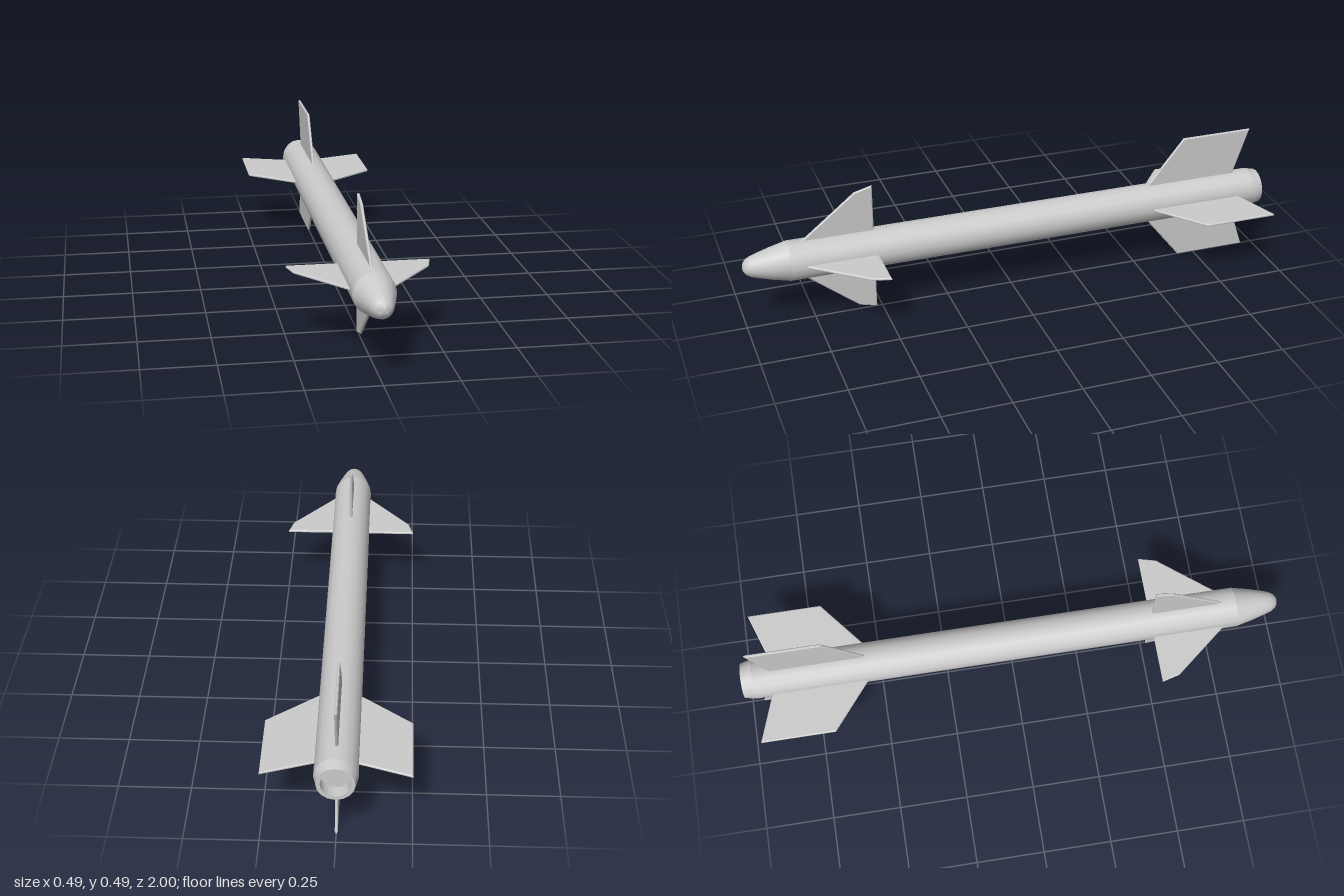
import * as THREE from 'three';
import { toCreasedNormals } from 'three/addons/utils/BufferGeometryUtils.js';

const AXIS_Y = 0.247; // height of the body axis
const R = 0.073; // body radius
const material = new THREE.MeshStandardMaterial({ color: 0xcccccc });

// Sixteen-sided turned part; profile is [radius, z], running from tail to nose.
function turned(name, profile) {
  const points = profile.map(([r, z]) => new THREE.Vector2(r, z));
  const geometry = new THREE.LatheGeometry(points, 16).rotateX(Math.PI / 2);
  const mesh = new THREE.Mesh(toCreasedNormals(geometry, 0.65), material);
  mesh.name = name;
  mesh.position.y = AXIS_Y;
  return mesh;
}

// Four bevelled fins around the axis; outline is [z, distance from axis].
function finSet(name, outline) {
  const set = new THREE.Group();
  set.name = name;
  set.position.y = AXIS_Y;
  const shape = new THREE.Shape(outline.map(([z, r]) => new THREE.Vector2(z, r)));
  const geometry = new THREE.ExtrudeGeometry(shape, {
    depth: 0.004, bevelThickness: 0.003, bevelSize: 0.004, bevelOffset: -0.004, bevelSegments: 1,
  });
  geometry.translate(0, 0, -0.002).rotateY(-Math.PI / 2);
  ['Top', 'Left', 'Bottom', 'Right'].forEach((side, i) => {
    const fin = new THREE.Mesh(geometry, material);
    fin.name = name.replace('Fins', 'Fin') + side;
    fin.rotation.z = -i * Math.PI / 2;
    set.add(fin);
  });
  return set;
}

export function createModel() {
  const model = new THREE.Group();
  model.name = 'missile';

  // Tail ring with recessed nozzle, straight body, tapered round nose
  model.add(turned('tailNozzle', [[0, -0.955], [0.05, -0.955], [0.05, -1], [0.064, -1], [R, -0.96]]));
  model.add(turned('body', [[R, -0.96], [R, 0.835]]));
  model.add(turned('nose', [
    [R, 0.835], [0.058, 0.9], [0.044, 0.95], [0.037, 0.972], [0.027, 0.988], [0.014, 0.997], [0, 1],
  ]));

  // Swept canards near the nose and larger stabilisers at the tail
  model.add(finSet('frontFins', [[0.52, 0.05], [0.808, 0.05], [0.78, R], [0.585, 0.23], [0.52, 0.247]]));
  model.add(finSet('rearFins', [[-0.89, 0.05], [-0.527, 0.05], [-0.545, R], [-0.685, 0.247], [-0.957, 0.247]]));
  return model;
}
